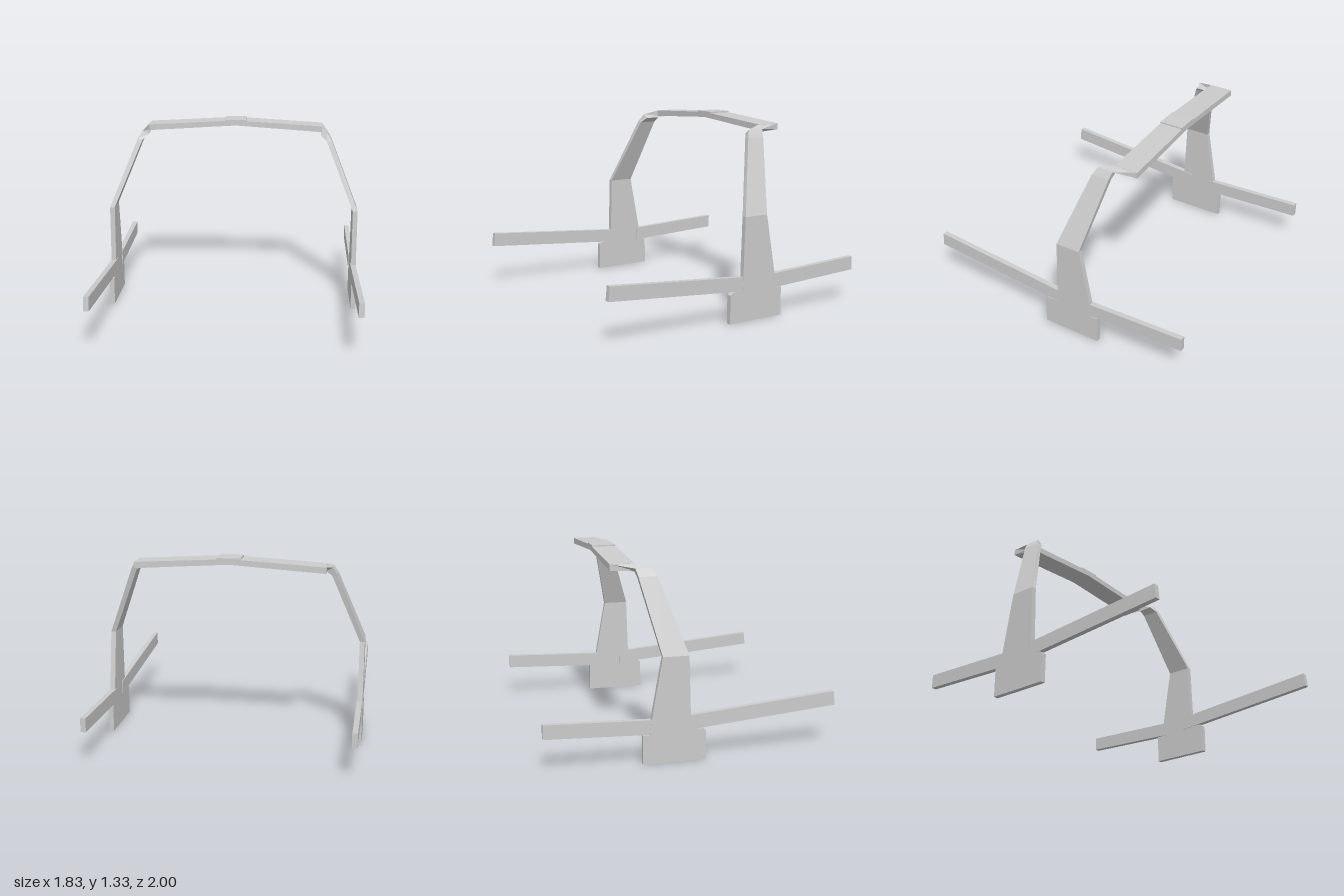
import * as THREE from 'three';

const material = new THREE.MeshStandardMaterial({ color: 0xcccccc, flatShading: true });

// Solid lofted through four-cornered rings; each ring runs counterclockwise about the direction of travel.
// With side = -1 it is mirrored in x.
function loft(name, rings, side = 1) {
  const R = rings.map(ring => {
    const r = ring.map(([x, y, z]) => [x * side, y, z]);
    return side < 0 ? r.reverse() : r;
  });
  const pos = [];
  const quad = (a, b, c, d) => pos.push(...a, ...b, ...c, ...a, ...c, ...d);
  for (let k = 0; k < R.length - 1; k++) {
    for (let i = 0; i < 4; i++) {
      const j = (i + 1) % 4;
      quad(R[k][i], R[k][j], R[k + 1][j], R[k + 1][i]);
    }
  }
  quad(...[...R[0]].reverse());
  quad(...R[R.length - 1]);
  const geo = new THREE.BufferGeometry();
  geo.setAttribute('position', new THREE.Float32BufferAttribute(pos, 3));
  geo.computeVertexNormals();
  const mesh = new THREE.Mesh(geo, material);
  mesh.name = name;
  return mesh;
}

// Foot and lower post cut from one flat plate, outline given as (z, y)
function postPlate(side) {
  const outline = [
    [0.08, 0], [0.08, 0.2], [0.06, 0.215], [-0.022, 0.22], [-0.037, 0.717],
    [-0.215, 0.717], [-0.29, 0.3], [-0.3, 0.2], [-0.348, 0.2], [-0.348, 0],
  ];
  const shape = new THREE.Shape(outline.map(([z, y]) => new THREE.Vector2(-z, y)));
  const geo = new THREE.ExtrudeGeometry(shape, { depth: 0.035, bevelEnabled: false });
  geo.translate(0, 0, -0.0175).rotateY(Math.PI / 2).translate(side * 0.8985, 0, 0);
  const mesh = new THREE.Mesh(geo, material);
  mesh.name = 'postPlate';
  return mesh;
}

// Rail cross-section at one end, with separate z for its lower and upper edge
const railRing = (y0, z0, y1, z1) => [
  [0.876, y0, z0], [0.913, y0, z0], [0.913, y1, z1], [0.876, y1, z1],
];

// Crossbar cross-section at x
const barRing = (x, y0, y1) => [
  [x, y1, -0.335], [x, y1, -0.5], [x, y0, -0.5], [x, y0, -0.335],
];

export function createModel() {
  const model = new THREE.Group();

  for (const side of [1, -1]) {
    const half = new THREE.Group();
    half.name = side > 0 ? 'leftSide' : 'rightSide';

    half.add(postPlate(side));

    // Upper arm leans inward and back, then twists flat into the crossbar
    half.add(loft('upperArm', [
      [[0.916, 0.717, -0.037], [0.916, 0.717, -0.215], [0.881, 0.717, -0.215], [0.881, 0.717, -0.037]],
      [[0.72, 1.21, -0.198], [0.72, 1.21, -0.325], [0.685, 1.2, -0.325], [0.685, 1.2, -0.198]],
      [[0.687, 1.262, -0.227], [0.69, 1.26, -0.338], [0.645, 1.235, -0.335], [0.645, 1.235, -0.23]],
      barRing(0.652, 1.248, 1.29),
    ], side));

    // Front and rear rails
    half.add(loft('frontRail', [railRing(0.207, -0.1, 0.304, -0.1), railRing(0.3, 1, 0.397, 0.99)], side));
    half.add(loft('rearRail', [railRing(0.23, -1, 0.327, -1), railRing(0.2, -0.27, 0.299, -0.27)], side));

    model.add(half);
  }

  // Shallow peaked crossbar with a raised plate in the middle
  model.add(loft('crossbar', [
    barRing(0.655, 1.247, 1.29), barRing(0, 1.29, 1.328), barRing(-0.655, 1.247, 1.29),
  ]));
  const plate = new THREE.Mesh(new THREE.BoxGeometry(0.16, 0.033, 0.165), material);
  plate.name = 'centrePlate';
  plate.position.set(0, 1.3165, -0.4175);
  model.add(plate);

  return model;
}
